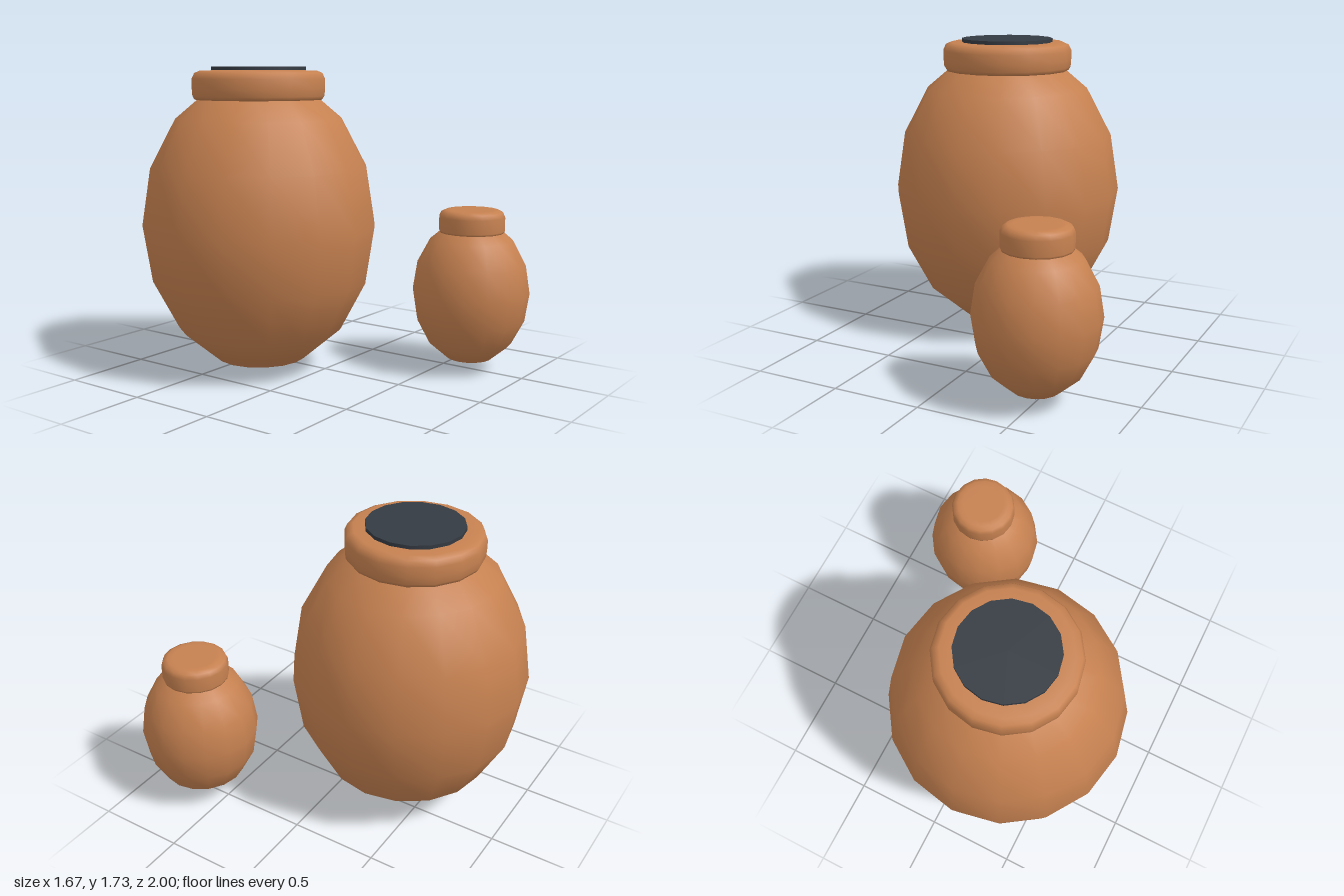
import * as THREE from 'three';

const SIDES = 16;

export function createModel() {
  const clay = new THREE.MeshStandardMaterial({ color: 0xc68150 });
  clay.name = 'terracotta';
  const dark = new THREE.MeshStandardMaterial({ color: 0x353b43 });
  dark.name = 'dark opening';

  const model = new THREE.Group();
  model.name = 'jars';

  const add = (parent, name, geometry, material, y) => {
    const mesh = new THREE.Mesh(geometry, material);
    mesh.name = name;
    mesh.position.y = y;
    parent.add(mesh);
    return mesh;
  };

  // Egg-shaped body with a collar turned from a profile of [radius, height] points
  const jar = (name, x, z, radius, halfHeight, centreY, collar) => {
    const group = new THREE.Group();
    group.name = name;
    group.position.set(x, 0, z);
    add(group, name + 'Body', new THREE.SphereGeometry(radius, SIDES, 8), clay, centreY)
      .scale.y = halfHeight / radius;
    const points = collar.map(([r, y]) => new THREE.Vector2(r, y));
    add(group, name + 'Collar', new THREE.LatheGeometry(points, SIDES), clay, 0);
    model.add(group);
    return group;
  };

  const large = jar('largeJar', -0.17, -0.335, 0.665, 0.845, 0.847, [
    [0.3, 1.548], [0.36, 1.55], [0.372, 1.57], [0.375, 1.61], [0.375, 1.665],
    [0.36, 1.697], [0.328, 1.711], [0.25, 1.712], [0, 1.712],
  ]);
  // Dark mouth of the large jar
  add(large, 'mouth', new THREE.CylinderGeometry(0.266, 0.266, 0.02, SIDES), dark, 1.722);

  jar('smallJar', 0.5, 0.667, 0.333, 0.422, 0.461, [
    [0.15, 0.802], [0.182, 0.803], [0.186, 0.815], [0.186, 0.893],
    [0.175, 0.919], [0.15, 0.931], [0.12, 0.932], [0, 0.932],
  ]);

  return model;
}
